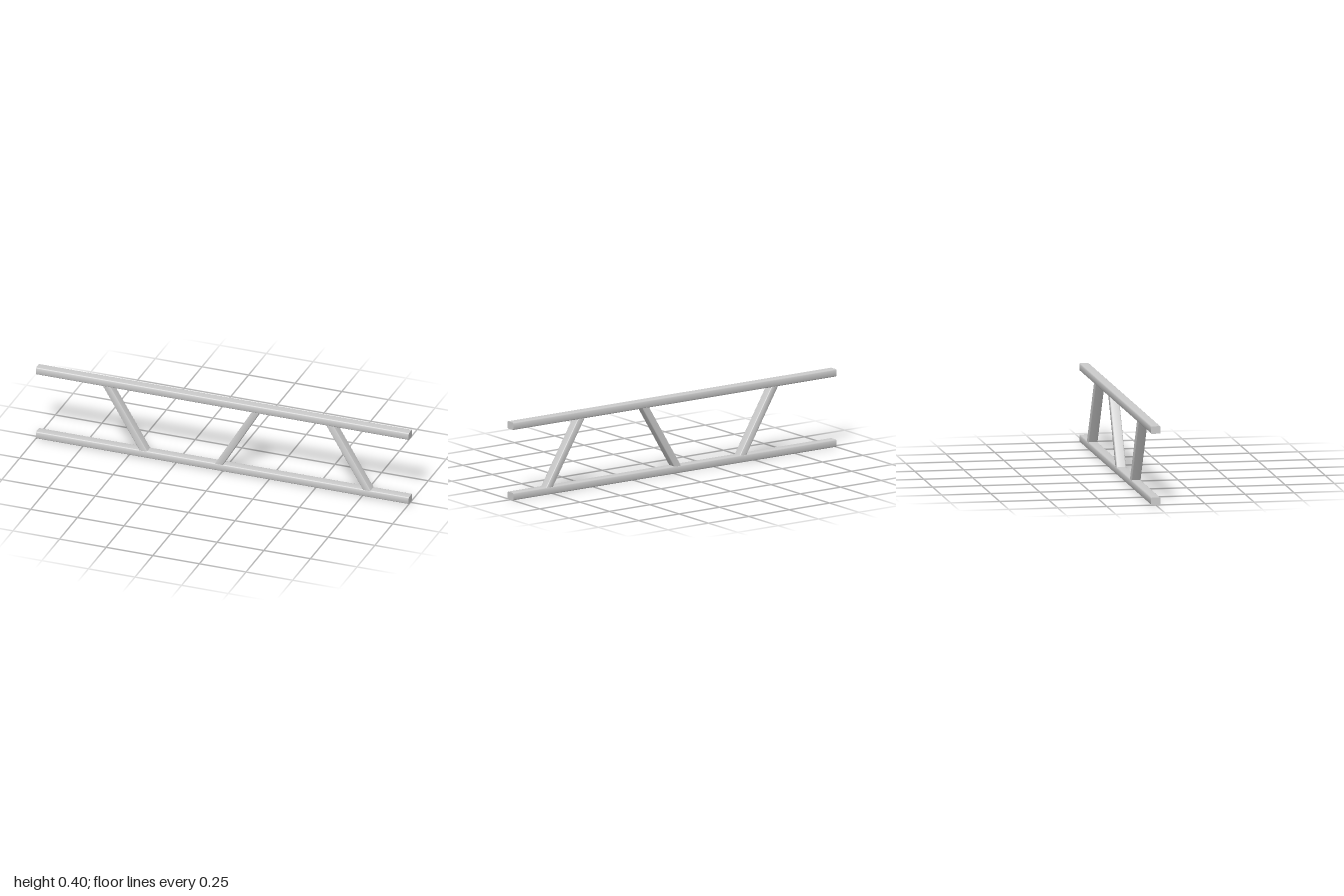
import * as THREE from 'three';
import { toCreasedNormals } from 'three/addons/utils/BufferGeometryUtils.js';

const HEIGHT = 0.4, RAIL_H = 0.038, DEPTH = 0.048, RADIUS = 0.005;

// Bar with a rounded rectangular section, centred and running along z
function bar(w, h, length) {
  const x = w / 2, y = h / 2, r = RADIUS;
  const s = new THREE.Shape();
  s.moveTo(-x + r, -y);
  s.lineTo(x - r, -y);
  s.absarc(x - r, -y + r, r, -Math.PI / 2, 0);
  s.lineTo(x, y - r);
  s.absarc(x - r, y - r, r, 0, Math.PI / 2);
  s.lineTo(-x + r, y);
  s.absarc(-x + r, y - r, r, Math.PI / 2, Math.PI);
  s.lineTo(-x, -y + r);
  s.absarc(-x + r, -y + r, r, Math.PI, Math.PI * 1.5);
  const g = new THREE.ExtrudeGeometry(s, { depth: length, bevelEnabled: false, curveSegments: 4 });
  return g.translate(0, 0, -length / 2);
}

export function createModel() {
  const model = new THREE.Group();
  model.name = 'trussFrame';
  const material = new THREE.MeshStandardMaterial({ color: 0xcccccc });
  const add = (name, geometry) => {
    const mesh = new THREE.Mesh(toCreasedNormals(geometry, 0.6), material);
    mesh.name = name;
    model.add(mesh);
  };

  // Two long horizontal rails
  add('lowerRail', bar(DEPTH, RAIL_H, 2).rotateY(Math.PI / 2).translate(0, RAIL_H / 2, 0));
  add('upperRail', bar(DEPTH, RAIL_H, 2).rotateY(Math.PI / 2).translate(0, HEIGHT - RAIL_H / 2, 0));

  // Slanted braces: upright bars sheared sideways so their ends meet the rails flat
  const gap = HEIGHT - 2 * RAIL_H;
  const braces = [['rightBrace', -0.425, -0.62], ['middleBrace', -0.018, 0.177], ['leftBrace', 0.773, 0.578]];
  for (const [name, bottomX, topX] of braces) {
    const lean = (topX - bottomX) / gap;
    const g = bar(0.042, DEPTH, gap + 0.004).rotateX(-Math.PI / 2);
    g.applyMatrix4(new THREE.Matrix4().set(1, lean, 0, 0, 0, 1, 0, 0, 0, 0, 1, 0, 0, 0, 0, 1));
    add(name, g.translate((topX + bottomX) / 2, HEIGHT / 2, 0));
  }
  return model;
}
